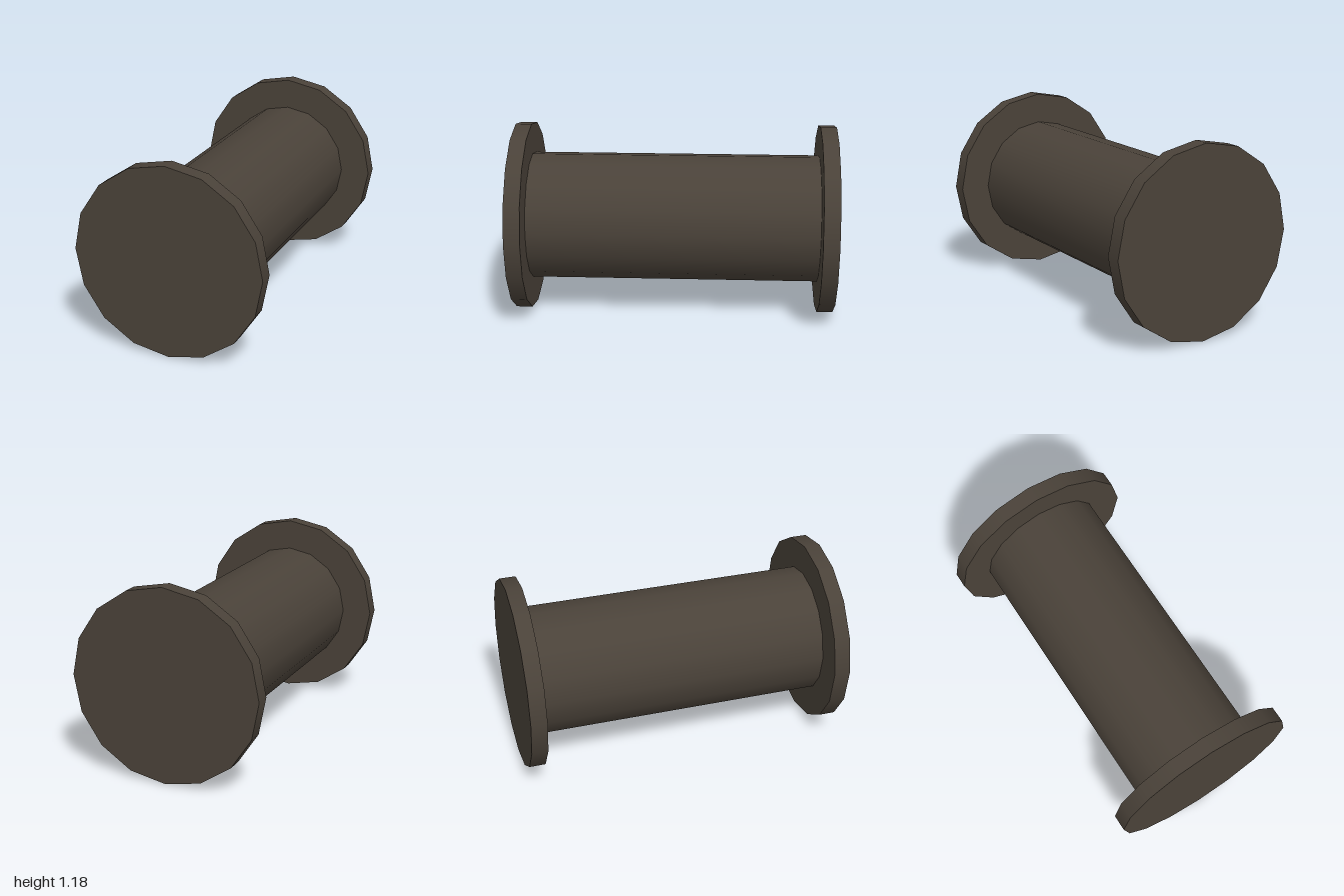
import * as THREE from 'three';

const SIDES = 16;
const FLANGE_R = 0.592, BARREL_R = 0.4, FLANGE_T = 0.1, LENGTH = 2;

export function createModel() {
  const model = new THREE.Group();
  model.name = 'spool';
  const darkBrown = new THREE.MeshStandardMaterial({ color: 0x4a4239 });
  darkBrown.name = 'darkBrown';

  // A round part lying along z, with its axis at flange-radius height
  function addDisc(name, radius, length, z, open) {
    const geometry = new THREE.CylinderGeometry(radius, radius, length, SIDES, 1, open);
    geometry.rotateX(Math.PI / 2);
    const mesh = new THREE.Mesh(geometry, darkBrown);
    mesh.name = name;
    mesh.position.set(0, FLANGE_R, z);
    model.add(mesh);
  }

  // Barrel between the flanges; its ends are hidden by them
  addDisc('barrel', BARREL_R, LENGTH - 2 * FLANGE_T, 0, true);

  // End flanges
  const flangeZ = (LENGTH - FLANGE_T) / 2;
  addDisc('frontFlange', FLANGE_R, FLANGE_T, flangeZ, false);
  addDisc('backFlange', FLANGE_R, FLANGE_T, -flangeZ, false);

  return model;
}
